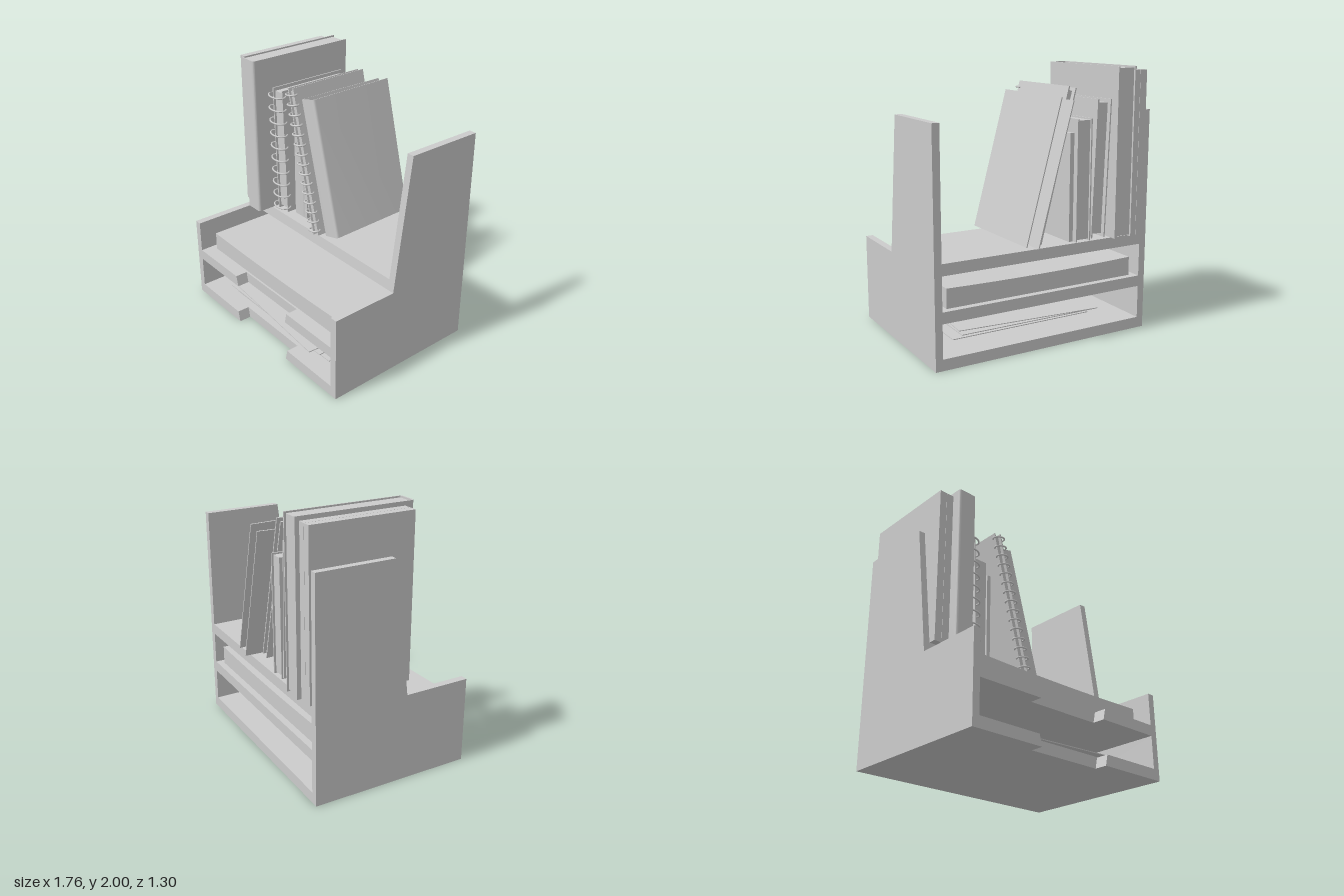
import * as THREE from 'three';
import { toCreasedNormals } from 'three/addons/utils/BufferGeometryUtils.js';

const grey = new THREE.MeshStandardMaterial({ color: 0xcccccc, side: THREE.DoubleSide });

function add(parent, name, geometry) {
  const mesh = new THREE.Mesh(geometry, grey);
  mesh.name = name;
  parent.add(mesh);
  return mesh;
}

// Box given by its limits on each axis
function box(parent, name, x0, x1, y0, y1, z0, z1) {
  const g = new THREE.BoxGeometry(x1 - x0, y1 - y0, z1 - z0);
  g.translate((x0 + x1) / 2, (y0 + y1) / 2, (z0 + z1) / 2);
  return add(parent, name, g);
}

const polygon = (pts) => new THREE.Shape(pts.map(([x, y]) => new THREE.Vector2(x, y)));
const extrude = (shape, depth, curveSegments = 6) =>
  new THREE.ExtrudeGeometry(shape, { depth, bevelEnabled: false, curveSegments });

// Side profile [z, y] swept from x0 to x1
function sideProfile(parent, name, pts, x0, x1) {
  const g = extrude(polygon(pts.map(([z, y]) => [-z, y])), x1 - x0);
  g.rotateY(Math.PI / 2);
  g.translate(x0, 0, 0);
  return add(parent, name, g);
}

function group(parent, name, x = 0, y = 0, tilt = 0) {
  const g = new THREE.Group();
  g.name = name;
  g.position.set(x, y, 0);
  g.rotation.z = tilt;
  parent.add(g);
  return g;
}

// Letter tray: floor, two side walls and a front lip split by a finger notch
function tray(parent, name, y) {
  const t = group(parent, name, 0, y);
  const floor = 0.083, wall = 0.055, height = 0.333;
  box(t, 'trayFloor', -0.825, 0.825, 0, floor, -0.6, 0.555);
  for (const s of [-1, 1]) {
    box(t, 'trayWall', Math.min(s * 0.88, s * (0.88 - wall)), Math.max(s * 0.88, s * (0.88 - wall)), 0, height, -0.6, 0.65);
    const lip = extrude(polygon([[s * 0.302, 0], [s * 0.825, 0], [s * 0.825, floor], [s * 0.322, floor]]), 0.095);
    lip.translate(0, 0, 0.555);
    add(t, 'trayLip', lip);
  }
}

// Wrap-round cover, open at the back, with rounded spine corners
function cover(parent, w, wBack, h, zBack, zFront, t = 0.01, r = 0.022) {
  const a = w / 2, b = wBack / 2, f = -zFront, k = -zBack;
  const s = new THREE.Shape();
  s.moveTo(-b, k);
  s.lineTo(-a, f + r);
  s.quadraticCurveTo(-a, f, -a + r, f);
  s.lineTo(a - r, f);
  s.quadraticCurveTo(a, f, a, f + r);
  s.lineTo(b, k);
  s.lineTo(b - t, k);
  s.lineTo(a - t, f + r);
  s.quadraticCurveTo(a - t, f + t, a - r, f + t);
  s.lineTo(-a + r, f + t);
  s.quadraticCurveTo(-a + t, f + t, -a + t, f + r);
  s.lineTo(-b + t, k);
  s.closePath();
  const g = extrude(s, h);
  g.rotateX(-Math.PI / 2);
  add(parent, 'cover', toCreasedNormals(g, 0.6));
}

function hardcover(parent, name, x, w, h, zBack, zFront) {
  const b = group(parent, name, x, 0.75);
  cover(b, w, w, h, zBack, zFront);
  box(b, 'pages', -w / 2 + 0.01, w / 2 - 0.01, 0.012, h - 0.012, zBack + 0.015, zFront - 0.012);
}

// Notebook with wire rings along its front edge
function ringNotebook(parent, name, x, tilt, w, h, zBack, zFront, rings, rx, rz, zRing) {
  const n = group(parent, name, x, 0.76, tilt);
  const t = 0.01;
  box(n, 'frontCover', w / 2 - t, w / 2, 0, h, zBack, zFront);
  box(n, 'backCover', -w / 2, -w / 2 + t, 0, h, zBack, zFront);
  box(n, 'pages', -w / 2 + t + 0.004, w / 2 - t - 0.012, 0.025, h - 0.025, zBack + 0.03, zFront - 0.015);
  const pts = [];
  for (let i = 0; i < 20; i++) {
    const a = (i / 20) * Math.PI * 2;
    pts.push(new THREE.Vector3(rx * Math.cos(a), -0.006 * Math.cos(a), zRing + rz * Math.sin(a)));
  }
  const ring = new THREE.TubeGeometry(new THREE.CatmullRomCurve3(pts, true), 28, 0.007, 6, true);
  for (let i = 0; i < rings; i++) {
    add(n, 'wireRing', ring).position.y = 0.045 + ((h - 0.09) * i) / (rings - 1);
  }
}

export function createModel() {
  const model = new THREE.Group();
  model.name = 'deskOrganizer';

  tray(model, 'lowerTray', 0);
  tray(model, 'upperTray', 0.333);

  // Book shelf with leaning front edges
  const shelf = group(model, 'bookShelf');
  sideProfile(shelf, 'shelfBoard', [[-0.6, 0.666], [0.13, 0.666], [0.119, 0.75], [-0.6, 0.75]], -0.825, 0.825);
  for (const x of [-0.88, 0.825]) {
    sideProfile(shelf, 'shelfEnd', [[-0.6, 0.666], [0.13, 0.666], [0, 1.68], [-0.6, 1.68]], x, x + 0.055);
  }

  // Paper stack, sagging slightly in the middle
  const stack = new THREE.BoxGeometry(1.54, 0.143, 1.09, 14, 1, 1);
  const p = stack.attributes.position;
  for (let i = 0; i < p.count; i++) {
    if (p.getY(i) > 0) p.setY(i, 0.06 + 0.012 * (p.getX(i) / 0.77) ** 2);
  }
  stack.translate(0, 0.4875, -0.005);
  stack.computeVertexNormals();
  add(model, 'paperStack', stack);

  // Loose sheets: x, y, z, turn
  for (const [x, y, z, turn] of [[0.035, 0.092, 0.08, 0], [-0.05, 0.105, 0.09, -0.01], [-0.08, 0.118, 0.1, -0.08]]) {
    const sheet = add(model, 'looseSheet', new THREE.BoxGeometry(1.17, 0.006, 0.83));
    sheet.position.set(x, y, z);
    sheet.rotation.y = turn;
  }

  // Upright books, from the right end of the shelf
  const books = group(model, 'books');
  box(books, 'slimBook', -0.83, -0.772, 0.75, 1.97, -0.615, 0.175);
  box(books, 'slimBook', -0.77, -0.712, 0.75, 1.97, -0.615, 0.175);
  hardcover(books, 'tallBook', -0.632, 0.155, 1.25, -0.645, 0.25);
  ringNotebook(books, 'thickNotebook', -0.448, 0.035, 0.122, 1.01, -0.585, 0.09, 10, 0.077, 0.055, 0.095);
  hardcover(books, 'shortBook', -0.313, 0.125, 0.89, -0.59, 0.03);
  box(books, 'thinBook', -0.248, -0.215, 0.75, 1.54, -0.55, 0.03);

  // Leaning notebook and empty binder
  ringNotebook(books, 'leaningNotebook', 0.035, 0.25, 0.068, 1.135, -0.525, 0.145, 15, 0.048, 0.036, 0.145);
  const binder = group(books, 'leaningBinder', 0.152, 0.774, 0.263);
  cover(binder, 0.15, 0.11, 1.055, -0.65, 0.09, 0.008);

  return model;
}
